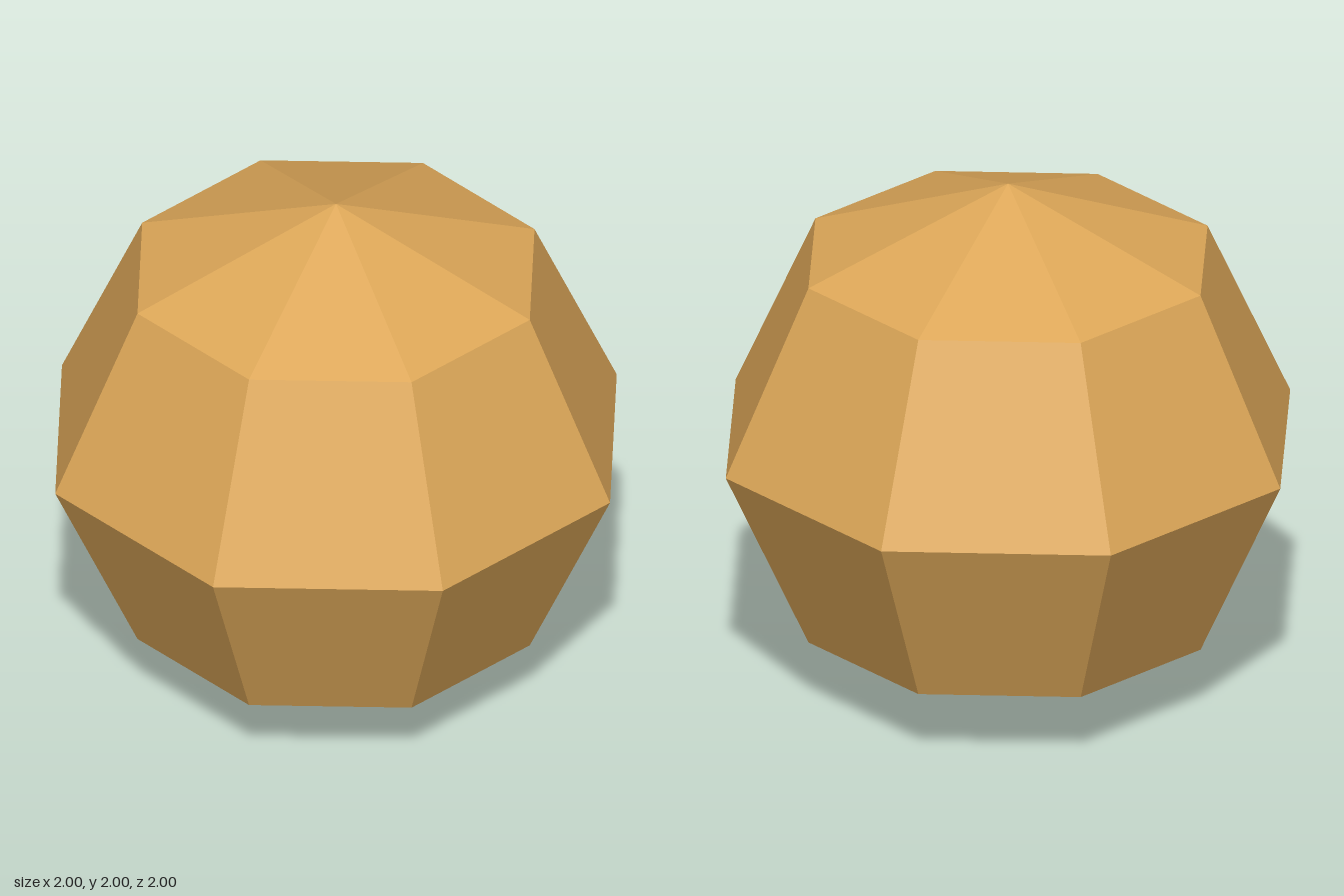
import * as THREE from 'three';

export function createModel() {
  const model = new THREE.Group();
  model.name = 'facetedBall';

  const tan = new THREE.MeshStandardMaterial({ color: 0xdda758, flatShading: true });
  tan.name = 'tan';

  // Eight-sided, four-band ball, turned so flat sides face the axes
  // and widened so those flats lie one unit from the centre
  const sides = 8;
  const widen = 1 / Math.cos(Math.PI / sides);
  const indexed = new THREE.SphereGeometry(1, sides, 4);
  indexed.rotateY(Math.PI / sides);
  indexed.scale(widen, 1, widen);
  indexed.translate(0, 1, 0);

  // Separate the faces for crisp facets
  const geometry = indexed.toNonIndexed();
  geometry.computeVertexNormals();

  const ball = new THREE.Mesh(geometry, tan);
  ball.name = 'ball';
  model.add(ball);
  return model;
}
